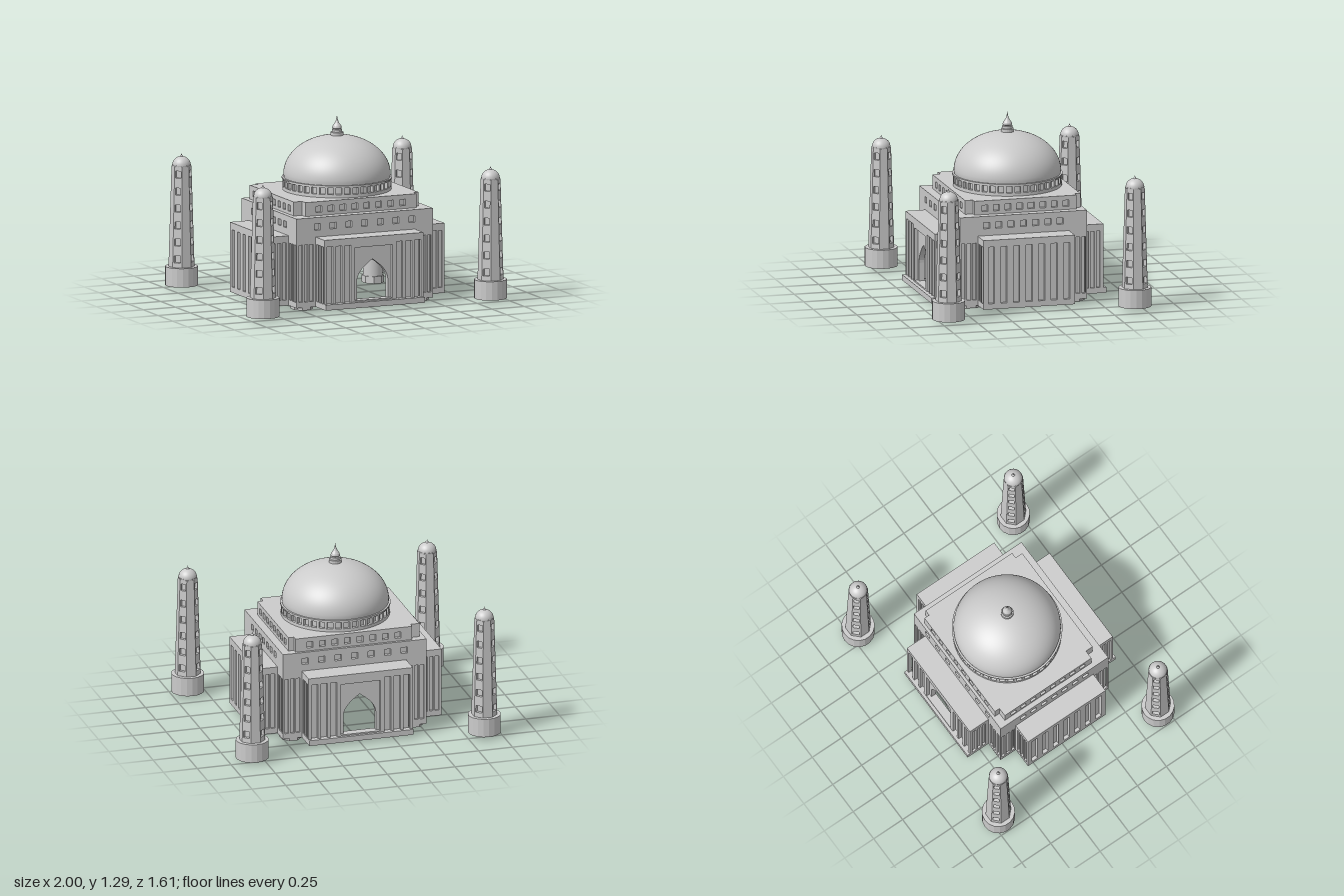
import * as THREE from 'three';
import { mergeGeometries } from 'three/addons/utils/BufferGeometryUtils.js';

const flat = new THREE.MeshStandardMaterial({ color: 0xcccccc, flatShading: true });
const smooth = new THREE.MeshStandardMaterial({ color: 0xcccccc });

function add(parent, name, geo, x = 0, y = 0, z = 0, mat = flat) {
  const m = new THREE.Mesh(geo, mat);
  m.name = name;
  m.position.set(x, y, z);
  parent.add(m);
  return m;
}

const rect = (P, x0, x1, y0, y1) =>
  new P([[x0, y0], [x1, y0], [x1, y1], [x0, y1]].map(p => new THREE.Vector2(...p)));

// row of n equal openings [x, width, y0, y1]
const row = (n, pitch, w, y0, y1) =>
  Array.from({ length: n }, (_, i) => [(i - (n - 1) / 2) * pitch, w, y0, y1]);

// pointed arch opening
function archPath() {
  const p = new THREE.Path();
  p.moveTo(-0.12, 0.07);
  p.lineTo(0.12, 0.07);
  p.lineTo(0.12, 0.2);
  p.bezierCurveTo(0.12, 0.27, 0.05, 0.32, 0, 0.355);
  p.bezierCurveTo(-0.05, 0.32, -0.12, 0.27, -0.12, 0.2);
  p.lineTo(-0.12, 0.07);
  return p;
}

// outward face of a wall plus the reveals of its openings (no back, no ends)
function facing(w, y0, y1, holes, depth, z) {
  const s = rect(THREE.Shape, -w / 2, w / 2, y0, y1);
  s.holes.push(...holes);
  const geo = new THREE.ExtrudeGeometry(s, { depth, bevelEnabled: false, curveSegments: 10 });
  const p = geo.attributes.position.array, out = [];
  for (let i = 0; i < p.length; i += 9) {
    const t = p.slice(i, i + 9);
    const all = (k, v) => [k, k + 3, k + 6].every(j => Math.abs(t[j] - v) < 1e-5);
    if (all(2, 0) || all(0, w / 2) || all(0, -w / 2) || all(1, y0) || all(1, y1)) continue;
    out.push(...t);
  }
  const g = new THREE.BufferGeometry();
  g.setAttribute('position', new THREE.Float32BufferAttribute(out, 3));
  g.translate(0, 0, z - depth);
  g.computeVertexNormals();
  return g;
}

// stepped cross outline from rectangles [x0, x1, z0, z1], longest in z first
function crossPlan(r) {
  const pts = [], n = r.length;
  const quarter = (x, z, outwards) => {
    for (let k = 0; k < n; k++) {
      const i = outwards ? k : n - 1 - k;
      pts.push([r[i][x], r[i][z]]);
      if (outwards && i < n - 1) pts.push([r[i][x], r[i + 1][z]]);
      if (!outwards && i > 0) pts.push([r[i - 1][x], r[i][z]]);
    }
  };
  quarter(1, 3, true);
  quarter(1, 2, false);
  quarter(0, 2, true);
  quarter(0, 3, false);
  return pts;
}

// walls around a plan; openings(length, facesFrontOrBack) gives each wall's recesses
function storey(parent, name, plan, y0, y1, openings, arches = false) {
  const g = new THREE.Group();
  g.name = name;
  parent.add(g);
  plan.forEach(([ax, az], i) => {
    const [bx, bz] = plan[(i + 1) % plan.length];
    const L = Math.hypot(bx - ax, bz - az), alongX = Math.abs(bx - ax) > Math.abs(bz - az);
    const list = openings(L, alongX), depth = L < 0.2 ? 0.015 : 0.025;
    const holes = list.map(([x, w, a, b]) => rect(THREE.Path, x - w / 2, x + w / 2, a, b));
    const parts = [facing(L, y0, y1, holes, depth, 0)];
    if (list.length) {
      const door = arches && alongX && L > 0.5 ? [archPath()] : [];
      parts.push(facing(L - 2 * depth, y0, y1, door, 0.04, -depth));
    }
    const m = add(g, 'wall', mergeGeometries(parts), (ax + bx) / 2, 0, (az + bz) / 2);
    m.rotation.y = Math.atan2(az - bz, bx - ax);
  });
  const shape = new THREE.Shape(plan.map(([x, z]) => new THREE.Vector2(x, -z)));
  add(g, 'roof', new THREE.ShapeGeometry(shape).rotateX(-Math.PI / 2), 0, y1, 0);
  return g;
}

const lathe = (pts, n) => new THREE.LatheGeometry(pts.map(p => new THREE.Vector2(...p)), n);

// quarter-ellipse dome profile
const domeProfile = (r, h, n) => Array.from({ length: n + 1 }, (_, i) => {
  const a = (i / n) * Math.PI / 2;
  return [i === n ? 0 : r * Math.cos(a), h * Math.sin(a)];
});

// tapered octagonal shaft with window niches in its diagonal faces
function shaftGeometry() {
  const bottom = 0.15, top = 0.875, t = Math.tan(Math.PI / 8), bands = [];
  const outline = notched => {
    const pts = [];
    for (let k = 0; k < 4; k++) {
      const a = k * Math.PI / 2, c = Math.cos(a), s = Math.sin(a);
      const put = (x, y) => pts.push(new THREE.Vector2(x * c - y * s, x * s + y * c));
      put(1, -t);
      put(1, t);
      if (notched) {
        const e = (1 - t) * 0.15, d = 0.2;
        put(1 - e, t + e);
        put(1 - e - d, t + e - d);
        put(t + e - d, 1 - e - d);
        put(t + e, 1 - e);
      }
    }
    return new THREE.Shape(pts);
  };
  const band = (y0, y1, notched) => bands.push(
    new THREE.ExtrudeGeometry(outline(notched), { depth: y1 - y0, bevelEnabled: false })
      .rotateX(-Math.PI / 2).translate(0, y0, 0));
  let y = bottom;
  for (let i = 0; i < 6; i++) {
    const w = 0.19 + i * 0.121;
    band(y, w, false);
    band(w, w + 0.05, true);
    y = w + 0.05;
  }
  band(y, top, false);
  const geo = mergeGeometries(bands), p = geo.attributes.position;
  for (let i = 0; i < p.count; i++) {
    const r = THREE.MathUtils.mapLinear(p.getY(i), bottom, top, 0.085, 0.065);
    p.setXYZ(i, p.getX(i) * r, p.getY(i), p.getZ(i) * r);
  }
  geo.computeVertexNormals();
  return geo;
}

export function createModel() {
  const model = new THREE.Group();
  model.name = 'domedTomb';

  // main hall: stepped cross with tall recessed panels and two arched porticos
  const hall = crossPlan([[-0.39, 0.38, -0.59, 0.645], [-0.54, 0.52, -0.43, 0.5], [-0.69, 0.67, -0.3, 0.37]]);
  const hallGroup = storey(model, 'hall', hall, 0.02, 0.52, (L, alongX) => {
    if (L < 0.2) return row(3, 0.042, 0.028, 0.06, 0.47);
    if (!alongX) return row(7, 0.092, 0.045, 0.06, 0.47);
    const sides = [0.2, 0.27, 0.34].flatMap(x => [[x, 0.048, 0.06, 0.47], [-x, 0.048, 0.06, 0.47]]);
    return [...sides, [0, 0.29, 0.07, 0.45]];
  }, true);
  const floor = new THREE.Shape(hall.map(([x, z]) => new THREE.Vector2(x, z)));
  add(hallGroup, 'floor', new THREE.ShapeGeometry(floor).rotateX(Math.PI / 2), 0, 0.02, 0);
  add(model, 'frontPlinth', new THREE.BoxGeometry(0.77, 0.04, 0.026), -0.005, 0.04, 0.657);
  add(model, 'backPlinth', new THREE.BoxGeometry(0.77, 0.04, 0.022), -0.005, 0.04, -0.6);

  // corner columns with feet
  for (const x of [-0.46, 0.44]) for (const z of [-0.345, 0.415]) {
    add(model, 'cornerColumn', new THREE.CylinderGeometry(0.07, 0.07, 0.43, 24), x, 0.265, z, smooth);
    add(model, 'columnFoot', new THREE.CylinderGeometry(0.074, 0.074, 0.05, 8).rotateY(Math.PI / 8)
      .scale(1.05, 1, 1.2), x, 0.025, z);
  }

  // upper block and roof tier with square windows
  storey(model, 'upperBlock', crossPlan([[-0.54, 0.52, -0.43, 0.5]]), 0.52, 0.66,
    (L, alongX) => row(7, alongX ? 0.122 : 0.09, 0.047, 0.57, 0.615));
  storey(model, 'roofTier', crossPlan([[-0.44, 0.42, -0.41, 0.435], [-0.505, 0.462, -0.37, 0.378]]), 0.66, 0.76,
    (L, alongX) => L < 0.2 ? [] : row(8, alongX ? 0.093 : 0.085, 0.045, 0.682, 0.727));

  // drum: rings and a ring of posts around a recessed core
  const drum = new THREE.Group();
  drum.name = 'drum';
  drum.position.set(0, 0, 0.008);
  model.add(drum);
  const ring = (name, r, y0, y1) =>
    add(drum, name, new THREE.CylinderGeometry(r, r, y1 - y0, 80), 0, (y0 + y1) / 2, 0);
  ring('drumCore', 0.362, 0.76, 0.84);
  ring('lowerRing', 0.385, 0.755, 0.783);
  ring('upperRing', 0.385, 0.83, 0.838);
  ring('cornice', 0.39, 0.838, 0.847);
  const posts = Array.from({ length: 40 }, (_, i) =>
    new THREE.BoxGeometry(0.019, 0.05, 0.03).translate(0, 0.807, 0.369).rotateY(i * Math.PI / 20));
  add(drum, 'drumPosts', mergeGeometries(posts));

  // main dome and finial
  const dome = [[0.376, -0.02], ...domeProfile(0.379, 0.28, 28)];
  add(drum, 'dome', lathe(dome, 72), 0, 0.865, 0, smooth);
  add(drum, 'finial', lathe([[0.045, 1.13], [0.045, 1.165], [0.036, 1.168], [0.036, 1.185], [0.028, 1.188],
    [0.034, 1.195], [0.03, 1.21], [0.016, 1.23], [0.009, 1.245], [0.005, 1.26], [0, 1.287]], 20));

  // four free-standing minarets
  const shaft = shaftGeometry();
  for (const [x, z] of [[-0.885, 0.685], [0.882, 0.685], [-0.885, -0.695], [0.828, -0.695]]) {
    const tower = new THREE.Group();
    tower.name = 'minaret';
    tower.position.set(x, 0, z);
    model.add(tower);
    add(tower, 'base', new THREE.CylinderGeometry(0.117, 0.117, 0.135, 18), 0, 0.0875, 0);
    add(tower, 'shaft', shaft);
    add(tower, 'collar', new THREE.CylinderGeometry(0.067, 0.064, 0.02, 24), 0, 0.873, 0);
    add(tower, 'cap', lathe(domeProfile(0.065, 0.06, 10), 28), 0, 0.882, 0, smooth);
    add(tower, 'spike', lathe([[0.014, 0.936], [0.01, 0.945], [0.004, 0.952], [0, 0.965]], 10));
  }
  return model;
}
